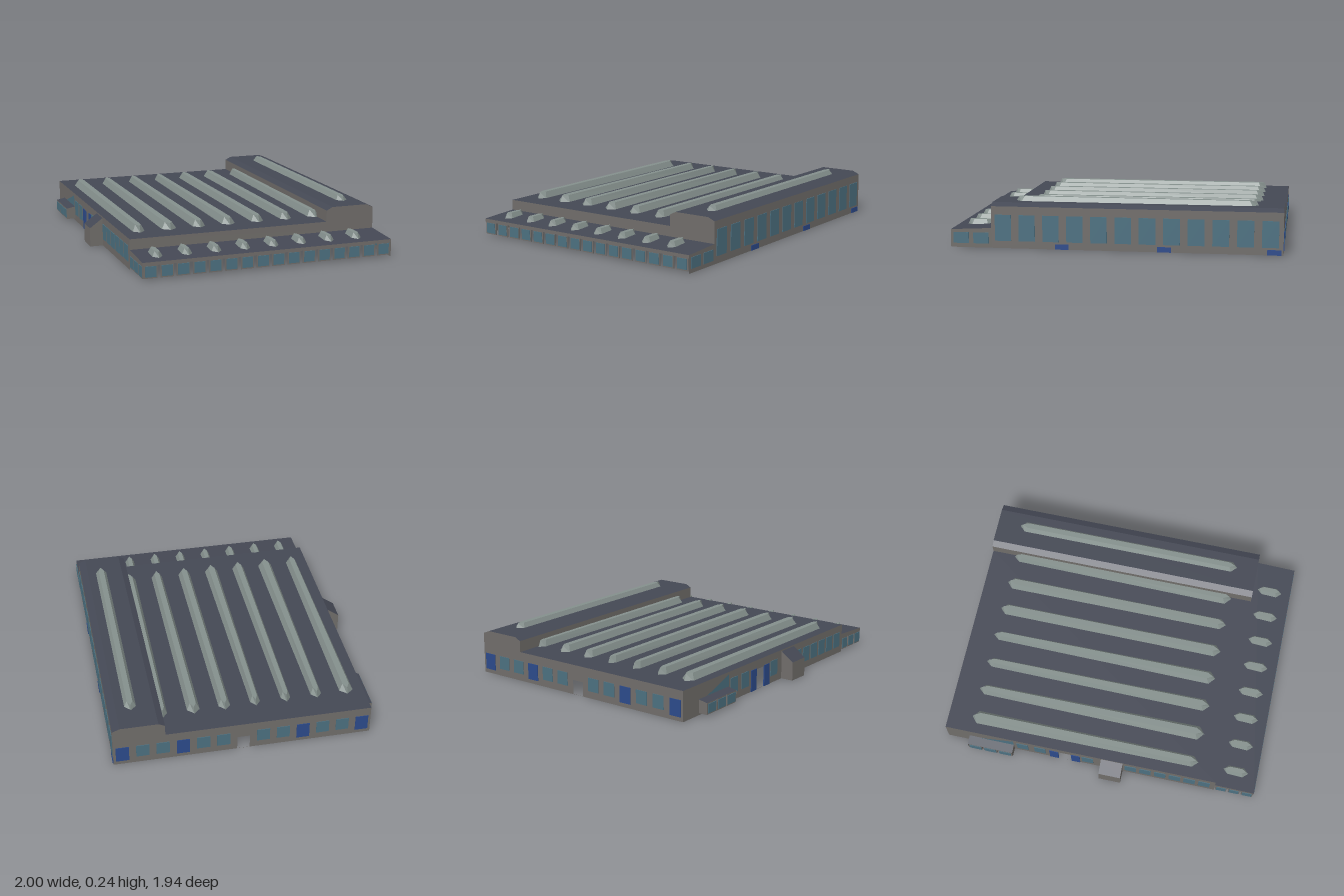
import * as THREE from 'three';

const mat = (name, color, side = THREE.FrontSide) => {
  const m = new THREE.MeshStandardMaterial({ color, side });
  m.name = name;
  return m;
};

export function createModel() {
  const D = THREE.DoubleSide;
  const roofMat = mat('slate roof', 0x444854, D);
  const wallMat = mat('grey wall', 0x706d6a, D);
  const glassMat = mat('teal glass', 0x4c7080, D);
  const doorMat = mat('blue door', 0x2c4a8a, D);
  const skyMat = mat('skylight', 0x848f8c, D);

  // Main footprint, in the building's own axes
  const U = 0.787, V = 0.616, STEP_U = 0.59, STEP_V = -0.37, LOW = 0.145;
  const model = new THREE.Group();
  model.name = 'hall';
  const hall = new THREE.Group();
  hall.name = 'building';
  hall.rotation.y = -0.664;
  model.add(hall);

  const add = (name, geo, material, x = 0, y = 0, z = 0, ry = 0) => {
    const m = new THREE.Mesh(geo, material);
    m.name = name;
    m.position.set(x, y, z);
    m.rotation.y = ry;
    hall.add(m);
    return m;
  };

  // Flat four-cornered panel
  const quad = (name, material, a, b, c, d) => {
    const g = new THREE.BufferGeometry();
    g.setAttribute('position', new THREE.Float32BufferAttribute([a, b, c, a, c, d].flat(), 3));
    g.computeVertexNormals();
    return add(name, g, material);
  };

  const polygon = (pts) => new THREE.Shape(pts.map(([x, y]) => new THREE.Vector2(x, y)));
  const rectHole = (x, w, h) => new THREE.Path(
    [[x - w / 2, 0.001], [x - w / 2, h], [x + w / 2, h], [x + w / 2, 0.001]].map(([a, b]) => new THREE.Vector2(a, b)));

  // Thin panes set through a wall: along x at z = v, or along z at x = u
  const T = 0.006;
  const paneX = (name, material, u, y0, y1, w, v) =>
    add(name, new THREE.BoxGeometry(w, y1 - y0, T), material, u, (y0 + y1) / 2, v);
  const paneZ = (name, material, v, y0, y1, w, u) =>
    add(name, new THREE.BoxGeometry(T, y1 - y0, w), material, u, (y0 + y1) / 2, v);

  // ---- Roofs ----
  const ridge = [[-V, 0.2], [-0.58, 0.215], [-0.4, 0.215], [STEP_V, 0.2]];
  for (let i = 0; i < 3; i++) {
    const [v0, y0] = ridge[i], [v1, y1] = ridge[i + 1];
    quad('highRoof', roofMat, [-U, y0, v0], [-U, y1, v1], [STEP_U, y1, v1], [STEP_U, y0, v0]);
  }
  quad('roofStep', wallMat, [-U, LOW, STEP_V], [STEP_U, LOW, STEP_V], [STEP_U, 0.2, STEP_V], [-U, 0.2, STEP_V]);
  quad('lowRoof', roofMat, [-U, LOW, STEP_V], [-U, LOW, V], [STEP_U, LOW, V], [STEP_U, LOW, STEP_V]);
  quad('sideRoof', roofMat, [STEP_U, 0.095, -V], [STEP_U, 0.095, V], [U, 0.085, V], [U, 0.085, -V]);

  // ---- Skylights: long lanterns with pointed ends and a narrower top ----
  const skylight = (name, length, w0, w1, h, x, y, z) => {
    const a = length / 2, p = Math.min(0.03, length * 0.2);
    const g = new THREE.ExtrudeGeometry(polygon([
      [-a, 0], [-a + p, -w0 / 2], [0, -(w0 + w1) / 4], [a - p, -w1 / 2],
      [a, 0], [a - p, w1 / 2], [0, (w0 + w1) / 4], [-a + p, w0 / 2]]), { depth: h, bevelEnabled: false });
    const pos = g.attributes.position;
    for (let i = 0; i < pos.count; i++) {
      if (pos.getZ(i) > h / 2) {
        pos.setX(i, pos.getX(i) * (1 - p / length));
        pos.setY(i, pos.getY(i) * 0.45);
      }
    }
    g.rotateX(-Math.PI / 2);
    g.computeVertexNormals();
    add(name, g, skyMat, x, y, z);
  };
  const widths = [[0.06, 0.06], [0.05, 0.07], [0.065, 0.06], [0.06, 0.065],
    [0.05, 0.07], [0.05, 0.065], [0.055, 0.075], [0.07, 0.06]];
  widths.forEach(([w0, w1], i) => {
    const high = i === 0;
    skylight('roofSkylight', 1.16, w0, w1, high ? 0.026 : 0.034, -0.09, high ? 0.211 : 0.141, -0.51 + i * 0.149);
  });
  for (let i = 0; i < 8; i++) {
    skylight('sideSkylight', 0.13, 0.05, 0.05, 0.027, 0.677, 0.086, -0.467 + i * 0.1415);
  }

  // ---- Left end wall with central doorway, and the wall above the side roof ----
  const endProfile = (bottom) => polygon([[-V, bottom], [V, bottom], [V, LOW], [STEP_V, LOW], ...[...ridge].reverse()]);
  const endWall = endProfile(0);
  endWall.holes.push(rectHole(0, 0.06, 0.07));
  add('endWall', new THREE.ShapeGeometry(endWall), wallMat, -U, 0, 0, -Math.PI / 2);
  add('upperSideWall', new THREE.ShapeGeometry(endProfile(0.095)), wallMat, STEP_U, 0, 0, -Math.PI / 2);
  for (let i = 0; i < 13; i++) {
    if (i === 6) continue;
    const door = i % 3 === 0;
    paneZ(door ? 'endDoor' : 'endWindow', door ? doorMat : glassMat,
      (i - 6) * 0.0955, door ? 0.02 : 0.035, 0.1, 0.062, -U);
  }

  // ---- Back wall ----
  quad('backWall', wallMat, [STEP_U, 0, -V], [-U, 0, -V], [-U, 0.2, -V], [STEP_U, 0.2, -V]);
  for (let i = 0; i < 12; i++) paneX('backWindow', glassMat, -U + 0.06 + i * 0.1145, 0.035, 0.16, 0.078, -V);
  for (const u of [0.25, -0.235, -0.745]) paneX('backDoor', doorMat, u, 0, 0.025, 0.065, -V);
  quad('sideBackWall', wallMat, [U, 0, -V], [STEP_U, 0, -V], [STEP_U, 0.095, -V], [U, 0.085, -V]);
  for (const u of [0.64, 0.737]) paneX('sideBackWindow', glassMat, u, 0.02, 0.072, 0.075, -V);

  // ---- Front wall with entrance ----
  const front = polygon([[-U, 0], [STEP_U, 0], [STEP_U, LOW], [-U, LOW]]);
  front.holes.push(rectHole(-0.178, 0.07, 0.1));
  add('frontWall', new THREE.ShapeGeometry(front), wallMat, 0, 0, V);
  for (const u of [-0.233, -0.122]) paneX('entranceDoor', doorMat, u, 0, 0.105, 0.045, V);
  for (const u of [-0.395, -0.305, -0.06, 0.16, 0.235, 0.31, 0.385, 0.46, 0.535]) {
    paneX('frontWindow', glassMat, u, 0.035, 0.11, 0.058, V);
  }

  // Glazed bay with a tapering window over its roof
  const b0 = -0.67, b1 = -0.44, bv = 0.66;
  quad('bayRoof', roofMat, [b0, 0.075, V], [b0, 0.066, bv], [b1, 0.066, bv], [b1, 0.075, V]);
  for (const u of [b0, b1]) {
    quad('baySide', wallMat, [u, 0.01, V], [u, 0.01, bv], [u, 0.066, bv], [u, 0.075, V]);
  }
  for (let i = 0; i < 3; i++) {
    const u = b0 + (b1 - b0) * (i + 0.5) / 3;
    paneX('bayPanel', wallMat, u, 0.01, 0.066, 0.07, bv - 0.003);
    paneX('bayPane', glassMat, u, 0.016, 0.06, 0.06, bv);
  }
  add('bayUpperWindow', new THREE.ShapeGeometry(polygon([[-0.61, 0.077], [b1, 0.077], [b1, 0.135]])),
    glassMat, 0, 0, V + 0.003);

  // Porch with a sloping roof
  const p0 = 0.01, p1 = 0.12, pv = 0.68;
  quad('porchRoof', roofMat, [p0, 0.138, V], [p0, 0.092, pv], [p1, 0.092, pv], [p1, 0.138, V]);
  quad('porchFront', wallMat, [p0, 0, pv], [p1, 0, pv], [p1, 0.092, pv], [p0, 0.092, pv]);
  for (const u of [p0, p1]) {
    quad('porchSide', wallMat, [u, 0, V], [u, 0, pv], [u, 0.092, pv], [u, 0.138, V]);
  }

  // ---- Side wing: fascia and a row of separate glazed panels ----
  quad('sideFascia', wallMat, [U, 0.07, V], [U, 0.07, -V], [U, 0.085, -V], [U, 0.085, V]);
  quad('frontFascia', wallMat, [STEP_U, 0.07, V], [U, 0.07, V], [U, 0.085, V], [STEP_U, 0.095, V]);
  for (let i = 0; i < 16; i++) {
    const v = -V + (i + 0.5) * (2 * V / 16);
    paneZ('sidePanel', wallMat, v, 0.01, 0.072, 0.062, U - 0.004);
    paneZ('sidePane', glassMat, v, 0.016, 0.066, 0.052, U - 0.001);
  }
  for (let i = 0; i < 3; i++) {
    const u = STEP_U + (i + 0.5) * (U - STEP_U) / 3;
    paneX('wingFrontPanel', wallMat, u, 0.01, 0.072, 0.056, V - 0.004);
    paneX('wingFrontPane', glassMat, u, 0.016, 0.066, 0.048, V - 0.001);
  }
  return model;
}
